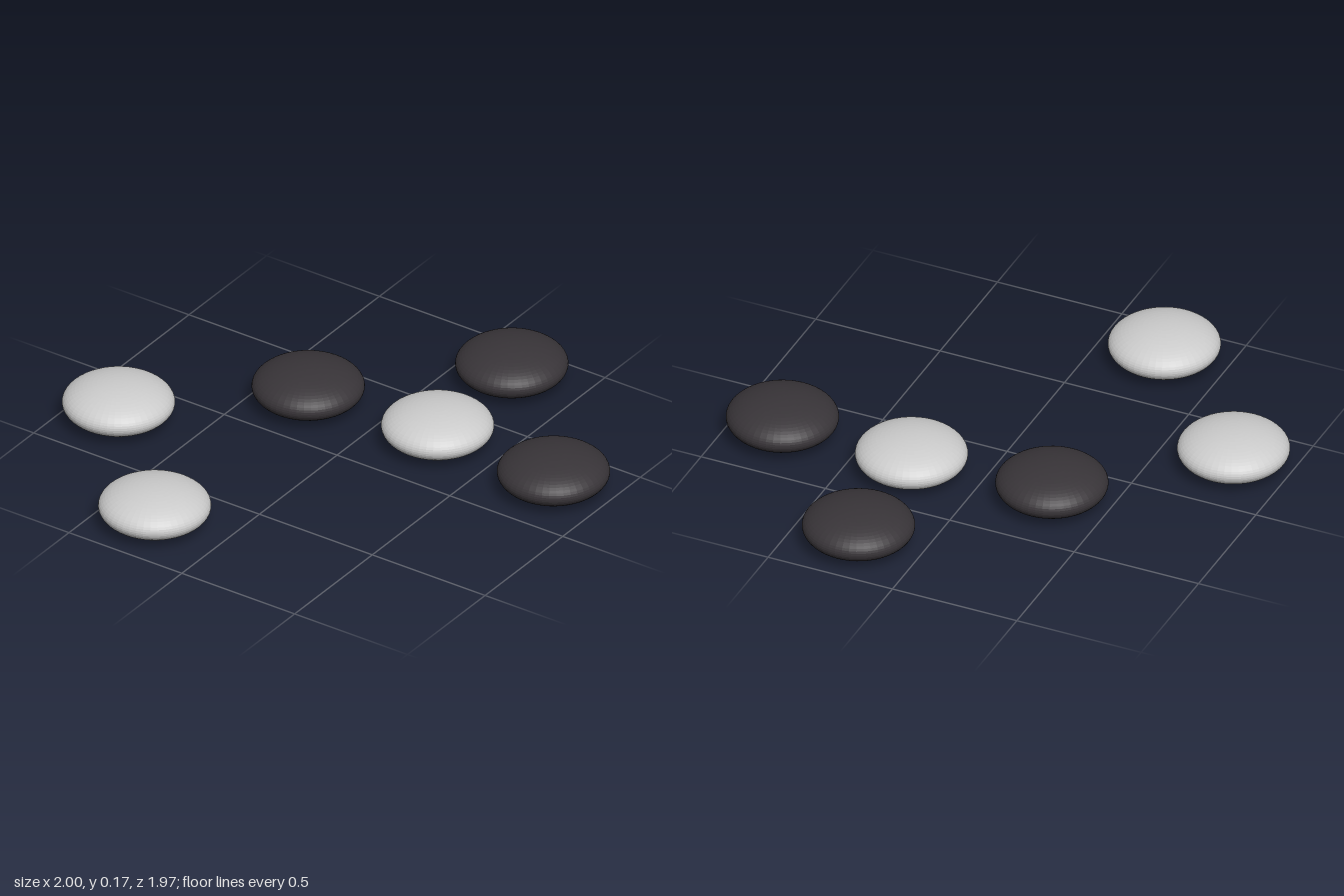
import * as THREE from 'three';

// Smooth lens-shaped playing stones, light and dark, lying flat on the board plane
const RADIUS = 0.207;
const HALF_HEIGHT = 0.0828;

const LIGHT_STONES = [[0.26, -0.27], [-0.793, 0.255], [-0.275, 0.775]];
const DARK_STONES = [[0.238, -0.78], [-0.286, -0.23], [0.79, -0.246]];

export function createModel() {
  const group = new THREE.Group();
  group.name = 'stones';

  // One flattened sphere shared by every stone, resting on y = 0
  const geometry = new THREE.SphereGeometry(1, 48, 32);
  geometry.scale(RADIUS, HALF_HEIGHT, RADIUS);
  geometry.translate(0, HALF_HEIGHT, 0);

  const light = new THREE.MeshStandardMaterial({ color: 0xcccccc, flatShading: true });
  const dark = new THREE.MeshStandardMaterial({ color: 0x383438, flatShading: true });

  const addStones = (name, positions, material) => {
    positions.forEach(([x, z], i) => {
      const stone = new THREE.Mesh(geometry, material);
      stone.name = `${name}${i + 1}`;
      stone.position.set(x, 0, z);
      group.add(stone);
    });
  };

  addStones('lightStone', LIGHT_STONES, light);
  addStones('darkStone', DARK_STONES, dark);
  return group;
}
